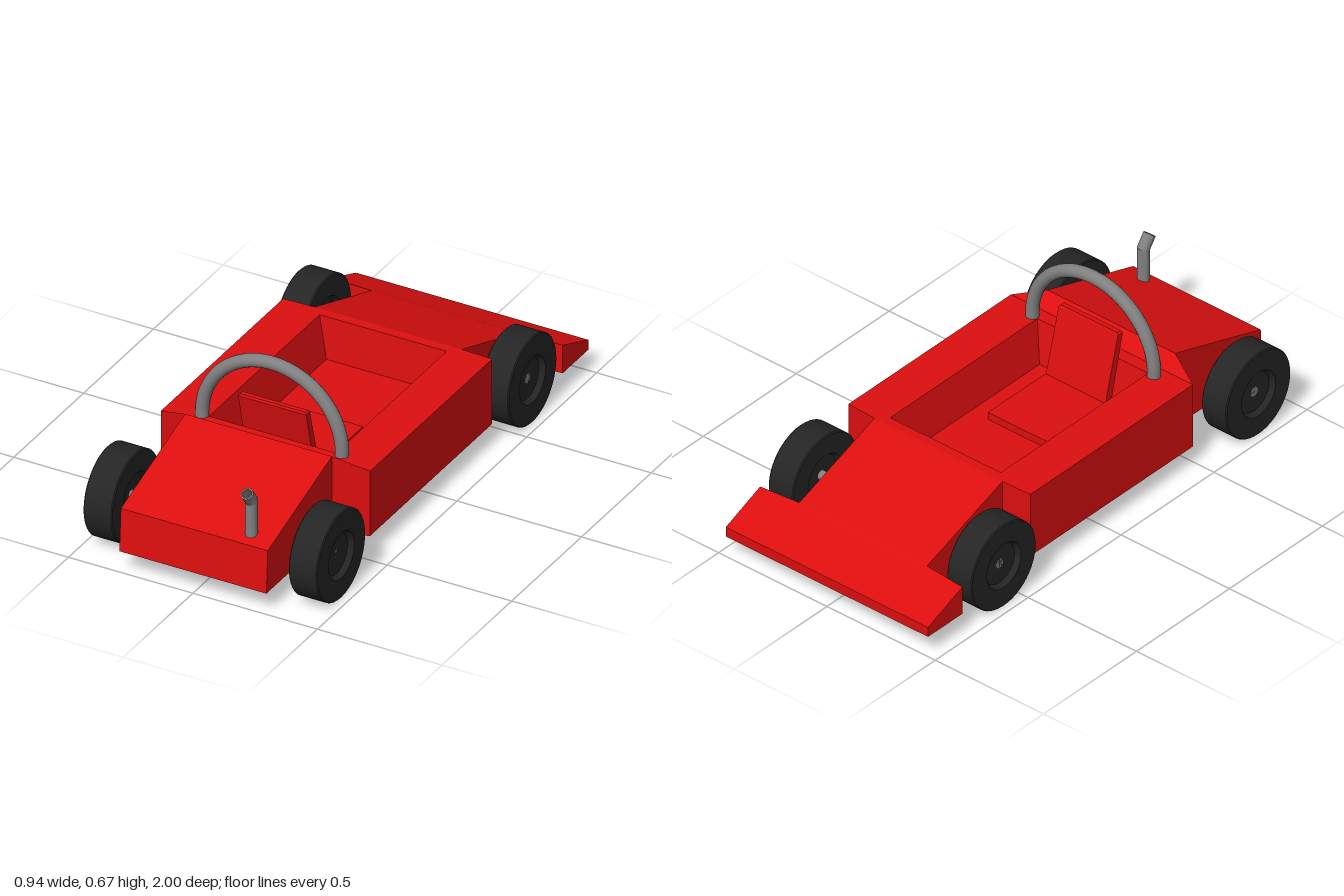
import * as THREE from 'three';
import { toCreasedNormals } from 'three/addons/utils/BufferGeometryUtils.js';

// Skin a list of four-cornered rings, closing both ends, with flat facets
function loft(rings) {
  const pos = [];
  const quad = (a, b, c, d) => pos.push(...a, ...b, ...c, ...a, ...c, ...d);
  for (let i = 0; i < rings.length - 1; i++) {
    for (let j = 0; j < 4; j++) {
      const k = (j + 1) % 4;
      quad(rings[i][j], rings[i][k], rings[i + 1][k], rings[i + 1][j]);
    }
  }
  const [s, e] = [rings[0], rings[rings.length - 1]];
  quad(s[3], s[2], s[1], s[0]);
  quad(e[0], e[1], e[2], e[3]);
  const g = new THREE.BufferGeometry();
  g.setAttribute('position', new THREE.Float32BufferAttribute(pos, 3));
  g.computeVertexNormals();
  return g;
}

// Upright ring (half width, top, z, z at top) and level ring (half width, back z, front z, y)
const FLOOR = 0.085;
const upright = (w, top, z, zTop = z) =>
  [[-w, FLOOR, z], [w, FLOOR, z], [w, top, zTop], [-w, top, zTop]];
const level = (w, z0, z1, y) => [[-w, y, z1], [w, y, z1], [w, y, z0], [-w, y, z0]];

export function createModel() {
  const root = new THREE.Group();
  const material = (name, color, extra = {}) => {
    const m = new THREE.MeshStandardMaterial({ color, ...extra });
    m.name = name;
    return m;
  };
  const red = material('redPaint', 0xdd0f0f);
  const rubber = material('blackRubber', 0x252525);
  const metal = material('greyMetal', 0x808080);
  const add = (name, geometry, mat, x = 0, y = 0, z = 0) => {
    const m = new THREE.Mesh(geometry, mat);
    m.name = name;
    m.position.set(x, y, z);
    root.add(m);
    return m;
  };

  // Centre tub: outer walls, rim, sloping cockpit walls, cockpit floor
  add('cockpitTub', loft([
    level(0.42, -0.395, 0.48, FLOOR),
    level(0.42, -0.395, 0.48, 0.35),
    level(0.255, -0.362, 0.43, 0.35),
    level(0.22, -0.348, 0.4, 0.185),
  ]), red);

  // Wedge nose that widens into the wing
  add('noseAndWing', loft([
    upright(0.467, 0.125, -1),
    upright(0.467, 0.2, -0.815),
    upright(0.295, 0.205, -0.805),
    upright(0.295, 0.35, -0.4),
    upright(0.42, 0.35, -0.395),
  ]), red);

  // Engine cover, tapering in from the tub and sloping down
  add('engineCover', loft([
    upright(0.42, 0.35, 0.48),
    upright(0.295, 0.4, 0.53),
    upright(0.295, 0.255, 1, 0.99),
  ]), red);

  // Seat
  add('seatCushion', loft([
    level(0.14, 0.03, 0.36, 0.18),
    level(0.14, 0.03, 0.36, 0.215),
  ]), red);
  add('seatBack', loft([
    level(0.137, 0.33, 0.365, 0.185),
    level(0.137, 0.406, 0.432, 0.47),
    level(0.131, 0.41, 0.428, 0.478),
  ]), red);

  // Roll hoop, with short legs sunk into the rim
  const R = 0.281, hoopY = 0.363, hoopZ = 0.433, tube = 0.025;
  add('rollHoop', new THREE.TorusGeometry(R, tube, 16, 48, Math.PI), metal, 0, hoopY, hoopZ);
  for (const s of [-1, 1]) {
    add('rollHoopLeg', new THREE.CylinderGeometry(tube, tube, 0.04, 16), metal, s * R, hoopY - 0.02, hoopZ);
  }

  // Exhaust: hollow pipe, its upper end bent forward at the kink
  const kink = 0.16, bend = 0.65;
  const pipe = [[0.023, 0], [0.023, kink], [0.023, 0.215], [0.017, 0.215], [0.017, kink], [0, kink - 0.02]];
  const exhaust = new THREE.LatheGeometry(pipe.map(p => new THREE.Vector2(...p)), 24);
  const p = exhaust.attributes.position;
  for (let i = 0; i < p.count; i++) {
    const y = p.getY(i), z = p.getZ(i), up = y - kink;
    if (up > 0.001) {
      p.setY(i, kink + up * Math.cos(bend) - z * Math.sin(bend));
      p.setZ(i, up * Math.sin(bend) + z * Math.cos(bend));
    } else if (up > -0.001) {
      p.setY(i, kink - z * Math.tan(bend / 2));
    }
  }
  add('exhaustPipe', toCreasedNormals(exhaust, 0.5), metal, 0.2, 0.245, 0.936);

  // Wheels with dished hubs, on straight axles
  const r = 0.174, h = 0.0575;
  const tyre = [[0, -h + 0.02], [0.08, -h + 0.02], [0.092, -h], [r - 0.004, -h], [r, -h + 0.004],
    [r, h - 0.004], [r - 0.004, h], [0.092, h], [0.08, h - 0.02], [0, h - 0.02]];
  const wheel = toCreasedNormals(
    new THREE.LatheGeometry(tyre.map(q => new THREE.Vector2(...q)), 48).rotateZ(Math.PI / 2), 0.5);
  const axle = new THREE.CylinderGeometry(0.019, 0.019, 0.9, 16).rotateZ(Math.PI / 2);
  for (const [end, z] of [['engine', 0.775], ['nose', -0.595]]) {
    add(end + 'Axle', axle, metal, 0, 0.175, z);
    for (const s of [-1, 1]) {
      add(end + (s > 0 ? 'LeftWheel' : 'RightWheel'), wheel, rubber, s * 0.4125, r, z);
    }
  }
  return root;
}
